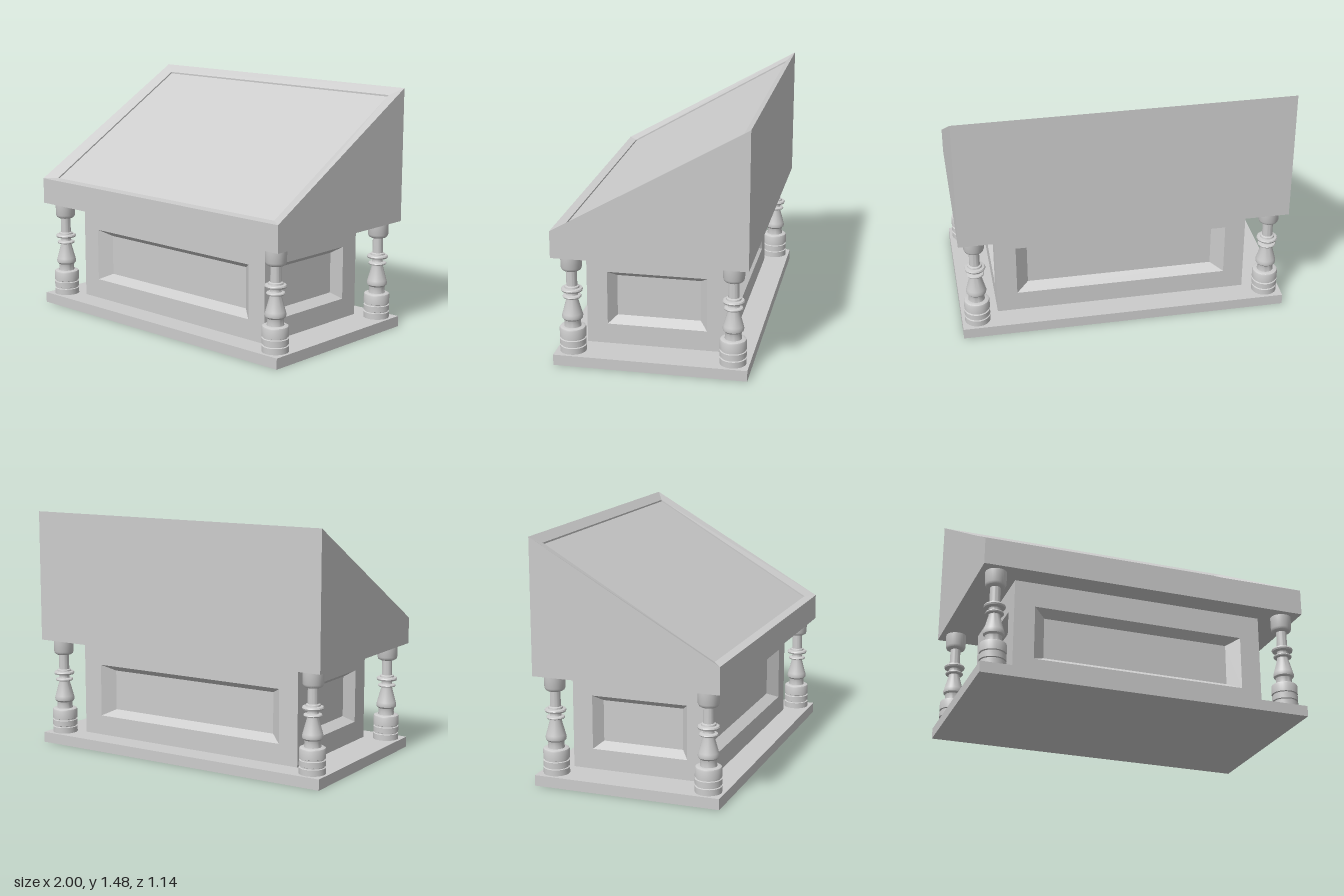
import * as THREE from 'three';
import { toCreasedNormals } from 'three/addons/utils/BufferGeometryUtils.js';

const material = new THREE.MeshStandardMaterial({ color: 0xcccccc });

function addMesh(parent, name, geometry) {
  const mesh = new THREE.Mesh(geometry, material);
  mesh.name = name;
  parent.add(mesh);
  return mesh;
}

// Flat-faced skin through four-cornered loops, closed by the last loop
function loft(loops, closeStart = false) {
  const pos = [];
  const quad = (a, b, c, d) => pos.push(...a, ...b, ...c, ...a, ...c, ...d);
  for (let i = 0; i < loops.length - 1; i++) {
    for (let j = 0; j < 4; j++) {
      const k = (j + 1) % 4;
      quad(loops[i][j], loops[i][k], loops[i + 1][k], loops[i + 1][j]);
    }
  }
  quad(...loops[loops.length - 1]);
  if (closeStart) quad(...[...loops[0]].reverse());
  const geometry = new THREE.BufferGeometry();
  geometry.setAttribute('position', new THREE.Float32BufferAttribute(pos, 3));
  geometry.computeVertexNormals();
  return geometry;
}

// Upright rectangle facing +z
const upright = (w, y0, y1, z) => [[-w, y0, z], [w, y0, z], [w, y1, z], [-w, y1, z]];

// Rectangle seen from above, with its own height at front and back
const sloped = (x, zFront, zBack, yFront, yBack) =>
  [[-x, yFront, zFront], [x, yFront, zFront], [x, yBack, zBack], [-x, yBack, zBack]];

// One pedestal wall with a bevelled, sunken panel
function wall(halfWidth, distance, panelHalf, bevel) {
  return loft([
    upright(halfWidth, 0.065, 0.665, distance),
    upright(panelHalf, 0.188, 0.515, distance),
    upright(panelHalf - bevel, 0.226, 0.476, distance - 0.06),
  ]);
}

// Turned column profile: radius, height
const columnProfile = [
  [0, 0.065], [0.078, 0.065], [0.078, 0.101], [0.07, 0.104], [0.07, 0.11],
  [0.078, 0.113], [0.078, 0.145], [0.07, 0.148], [0.07, 0.155], [0.078, 0.158],
  [0.078, 0.208], [0.075, 0.216], [0.068, 0.22], [0.05, 0.221],
  [0.047, 0.245], [0.05, 0.262], [0.06, 0.272], [0.062, 0.285], [0.058, 0.3],
  [0.034, 0.388], [0.034, 0.396], [0.052, 0.399], [0.055, 0.405], [0.052, 0.411],
  [0.034, 0.415], [0.031, 0.425], [0.034, 0.436], [0.06, 0.439], [0.064, 0.448],
  [0.06, 0.456], [0.044, 0.459], [0.042, 0.468], [0.032, 0.472], [0.031, 0.566],
  [0.045, 0.567], [0.056, 0.574], [0.062, 0.588], [0.063, 0.665], [0, 0.665],
].map(([r, y]) => new THREE.Vector2(r, y));

export function createModel() {
  const model = new THREE.Group();
  model.name = 'lecternDesk';

  // Base slab
  const base = addMesh(model, 'baseSlab', new THREE.BoxGeometry(2, 0.065, 1.14));
  base.position.y = 0.0325;

  // Panelled pedestal
  const pedestal = new THREE.Group();
  pedestal.name = 'pedestal';
  model.add(pedestal);
  const longWall = wall(0.775, 0.42, 0.65, 0.074);
  const shortWall = wall(0.42, 0.775, 0.297, 0.047);
  ['front', 'left', 'back', 'right'].forEach((side, i) => {
    const mesh = addMesh(pedestal, `${side}PanelWall`, i % 2 ? shortWall : longWall);
    mesh.rotation.y = (i * Math.PI) / 2;
  });

  // Turned corner columns
  const columnGeometry = toCreasedNormals(new THREE.LatheGeometry(columnProfile, 32), 0.6);
  for (const x of [1, -1]) {
    for (const z of [1, -1]) {
      const name = `${z > 0 ? 'front' : 'back'}${x > 0 ? 'Left' : 'Right'}Column`;
      addMesh(model, name, columnGeometry).position.set(x * 0.904, 0, z * 0.473);
    }
  }

  // Slant-topped case with a bevelled rim and a slightly sunken sloping board
  addMesh(model, 'slantedCase', loft([
    sloped(1, 0.57, -0.57, 0.665, 0.665),
    sloped(1, 0.57, -0.57, 0.826, 1.476),
    sloped(0.922, 0.512, -0.52, 0.83, 1.432),
    sloped(0.922, 0.512, -0.52, 0.82, 1.422),
  ], true));

  return model;
}
